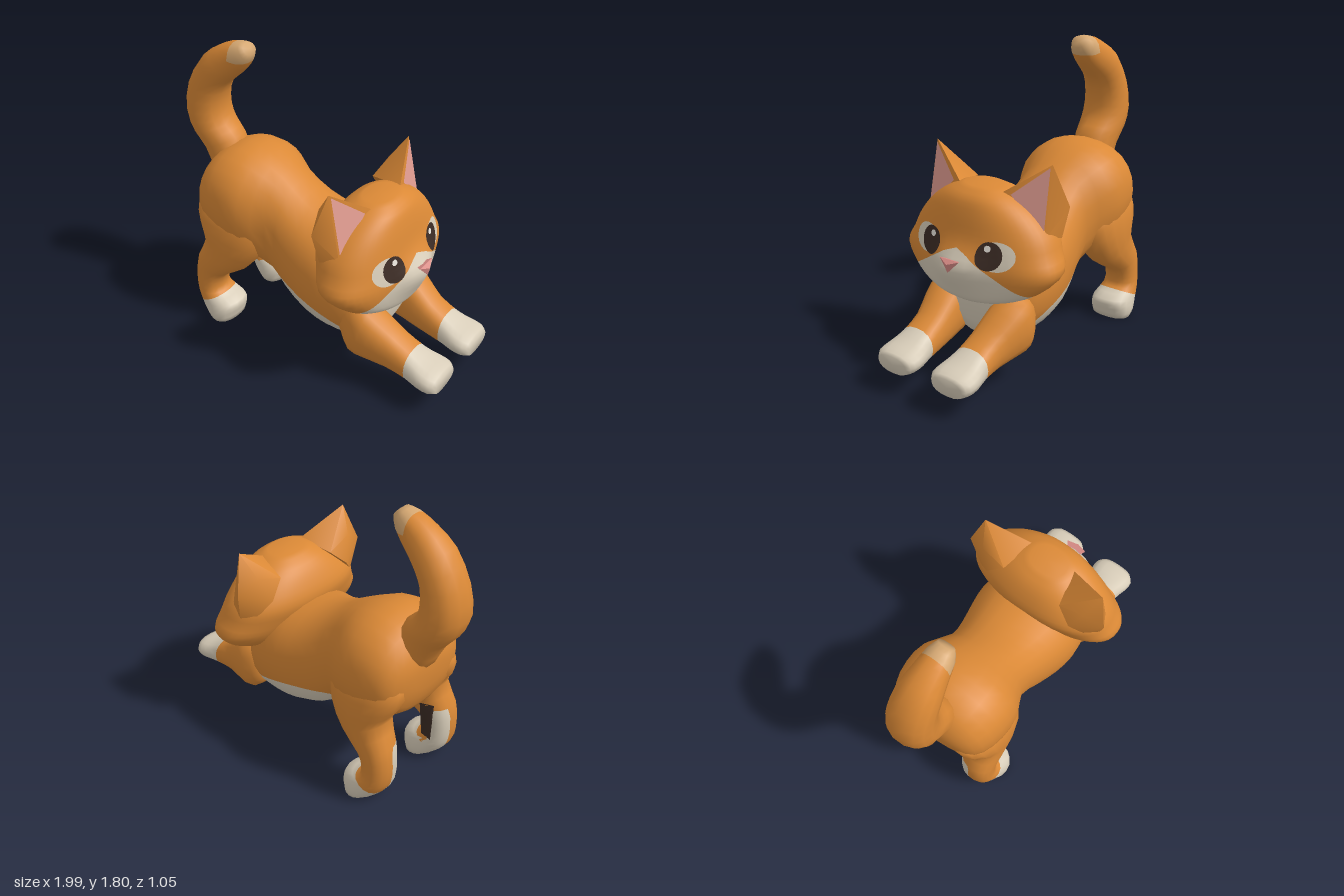
import * as THREE from 'three';
import { ConvexGeometry } from 'three/addons/geometries/ConvexGeometry.js';
import { toCreasedNormals } from 'three/addons/utils/BufferGeometryUtils.js';

const mat = (name, color) => new THREE.MeshStandardMaterial({ name, color });

// Smooth loft. Each ring is [x0, y0, x1, y1, zCentre, zRadius]: two outline
// points in the side plane (the second to the left of travel) and a width.
function loft(rings, { steps = 2, sides = 20, power = 0.9, side = 1 } = {}) {
  const curve = (f) => new THREE.CatmullRomCurve3(rings.map(f), false, 'catmullrom', 0.5);
  const ca = curve((r) => new THREE.Vector3(r[0], r[1], r[4] * side));
  const cb = curve((r) => new THREE.Vector3(r[2], r[3], r[5]));
  const rows = (rings.length - 1) * steps;
  const pos = [], index = [], centres = [];
  const bend = (v) => Math.sign(v) * Math.pow(Math.abs(v), power);
  for (let i = 0; i <= rows; i++) {
    const a = ca.getPoint(i / rows), b = cb.getPoint(i / rows);
    const cx = (a.x + b.x) / 2, cy = (a.y + b.y) / 2;
    centres.push([cx, cy, a.z]);
    for (let j = 0; j < sides; j++) {
      const t = (j / sides) * Math.PI * 2;
      const c = bend(Math.cos(t)), s = bend(Math.sin(t));
      pos.push(cx + (s * (b.x - a.x)) / 2, cy + (s * (b.y - a.y)) / 2, a.z + c * b.z);
    }
  }
  for (let i = 0; i < rows; i++) {
    for (let j = 0; j < sides; j++) {
      const k = (j + 1) % sides;
      const a = i * sides + j, b = i * sides + k, c = a + sides, d = b + sides;
      index.push(a, c, b, b, c, d);
    }
  }
  // End caps
  const first = (rows + 1) * sides, last = first + 1, top = rows * sides;
  pos.push(...centres[0], ...centres[rows]);
  for (let j = 0; j < sides; j++) {
    const k = (j + 1) % sides;
    index.push(first, j, k, last, top + k, top + j);
  }
  const geo = new THREE.BufferGeometry();
  geo.setAttribute('position', new THREE.Float32BufferAttribute(pos, 3));
  geo.setIndex(index);
  geo.computeVertexNormals();
  return geo;
}

// Cuts a surface along rule(p) = 0, so the positive side takes the second colour.
function paint(name, geo, rule, mats) {
  const g = geo.toNonIndexed(), P = g.attributes.position, N = g.attributes.normal;
  const pos = [], nor = [], out = new THREE.BufferGeometry();
  for (const sign of [-1, 1]) {
    const start = pos.length / 3;
    for (let t = 0; t < P.count; t += 3) {
      const tri = [0, 1, 2].map((k) => {
        const p = new THREE.Vector3().fromBufferAttribute(P, t + k);
        return { p, n: new THREE.Vector3().fromBufferAttribute(N, t + k), d: rule(p) };
      });
      const poly = [];
      tri.forEach((a, k) => {
        const b = tri[(k + 1) % 3];
        if (a.d * sign >= 0) poly.push(a);
        if (a.d * b.d < 0) {
          const f = a.d / (a.d - b.d);
          poly.push({ p: a.p.clone().lerp(b.p, f), n: a.n.clone().lerp(b.n, f).normalize() });
        }
      });
      for (let k = 1; k + 1 < poly.length; k++) {
        for (const v of [poly[0], poly[k], poly[k + 1]]) {
          pos.push(...v.p.toArray());
          nor.push(...v.n.toArray());
        }
      }
    }
    out.addGroup(start, pos.length / 3 - start, sign < 0 ? 0 : 1);
  }
  out.setAttribute('position', new THREE.Float32BufferAttribute(pos, 3));
  out.setAttribute('normal', new THREE.Float32BufferAttribute(nor, 3));
  const mesh = new THREE.Mesh(out, mats);
  mesh.name = name;
  return mesh;
}

// Thin patch laid onto a mesh by casting its points along dir.
function decal(name, target, dir, centre, ru, rv, lift, material, seg = 28, turn = 0) {
  const geo = new THREE.RingGeometry(0, 1, seg, 6, turn, Math.PI * 2);
  const d = new THREE.Vector3(...dir), up = new THREE.Vector3(0, 1, 0);
  const right = d.clone().cross(up), p = geo.attributes.position, ray = new THREE.Raycaster();
  let depth = 0;
  for (let i = 0; i < p.count; i++) {
    const o = new THREE.Vector3(...centre).addScaledVector(right, p.getX(i) * ru + 0.00013);
    o.addScaledVector(up, p.getY(i) * rv + 0.00017);
    ray.set(o, d);
    const hit = ray.intersectObject(target)[0];
    if (hit) depth = hit.distance;
    o.addScaledVector(d, depth - lift);
    p.setXYZ(i, o.x, o.y, o.z);
  }
  geo.computeVertexNormals();
  const mesh = new THREE.Mesh(geo, material);
  mesh.name = name;
  return mesh;
}

export function createModel() {
  const model = new THREE.Group();
  model.name = 'kitten';
  const orange = mat('orangeFur', 0xdb8936), cream = mat('creamFur', 0xd8cdb9);
  const tan = mat('tailTipTan', 0xd6a872), pink = mat('earPink', 0xe29d92);
  const nosePink = mat('nosePink', 0xd98c86), dark = mat('darkBrown', 0x3c2c25);
  const shine = mat('eyeShine', 0xf0ebe2);
  const { abs, min, max, exp } = Math;

  // Body: raised rump, low chest, cream belly
  model.add(paint('body', loft([
    [-0.8, 0.76, -0.8, 0.93, 0, 0.12], [-0.77, 0.64, -0.77, 1.02, 0, 0.25],
    [-0.7, 0.55, -0.69, 1.12, 0, 0.325], [-0.55, 0.48, -0.55, 1.165, 0, 0.36],
    [-0.4, 0.46, -0.4, 1.14, 0, 0.35], [-0.25, 0.37, -0.25, 1.06, 0, 0.275],
    [-0.1, 0.25, -0.1, 0.96, 0, 0.3], [0.05, 0.19, 0.05, 0.9, 0, 0.34],
    [0.2, 0.17, 0.2, 0.87, 0, 0.36], [0.35, 0.17, 0.35, 0.8, 0, 0.335],
    [0.45, 0.2, 0.45, 0.72, 0, 0.27], [0.52, 0.32, 0.52, 0.6, 0, 0.15],
  ], { sides: 24 }), (p) => max(
    min(0.445 - 0.09 * p.x - 0.8 * max(0, p.x) ** 2 - p.y, p.x + 0.45),
    min(0.18 - abs(p.z), p.x - 0.36, 0.58 - p.y),
  ), [orange, cream]));

  // Tail
  model.add(paint('tail', loft([
    [-0.6, 1.06, -0.79, 0.88, 0, 0.13], [-0.64, 1.17, -0.87, 1.06, 0, 0.135],
    [-0.71, 1.24, -0.95, 1.17, 0, 0.145], [-0.745, 1.33, -1, 1.3, 0, 0.145],
    [-0.735, 1.44, -0.97, 1.49, 0, 0.135], [-0.69, 1.52, -0.86, 1.67, 0, 0.125],
    [-0.61, 1.59, -0.73, 1.76, 0, 0.1], [-0.535, 1.67, -0.62, 1.8, 0, 0.08],
    [-0.505, 1.74, -0.55, 1.805, 0, 0.05],
  ], { sides: 14 }), (p) => min(p.x + 0.63, p.y - 1.69), [orange, tan]));

  // Head with a pushed-out muzzle
  const headGeo = loft([
    [0.6, 0.49, 0.46, 0.49, 0, 0.15], [0.63, 0.52, 0.36, 0.53, 0, 0.29],
    [0.64, 0.58, 0.24, 0.6, 0, 0.43], [0.64, 0.7, 0.18, 0.7, 0, 0.525],
    [0.63, 0.8, 0.14, 0.8, 0, 0.485], [0.61, 0.9, 0.12, 0.9, 0, 0.44],
    [0.585, 1, 0.16, 1, 0, 0.35], [0.55, 1.08, 0.22, 1.08, 0, 0.235],
    [0.48, 1.13, 0.3, 1.13, 0, 0.12],
  ], { steps: 3, sides: 48, power: 0.87 });
  const hp = headGeo.attributes.position;
  for (let i = 0; i < hp.count; i++) {
    const x = hp.getX(i), y = hp.getY(i), z = hp.getZ(i);
    const dy = (y - 0.71) / (y > 0.71 ? 0.09 : 0.13);
    const front = THREE.MathUtils.smoothstep(x, 0.45, 0.6);
    hp.setX(i, x + 0.08 * front * exp(-((z / 0.16) ** 2) - dy * dy));
  }
  headGeo.computeVertexNormals();
  const head = paint('head', headGeo,
    (p) => min(0.84 - 0.63 * abs(p.z) - p.y, 0.82 - p.y, p.x - 0.42), [orange, cream]);
  model.add(head);

  // Nose: a small wedge on the muzzle
  const nose = new THREE.Mesh(new ConvexGeometry([
    [0.738, 0.748, 0], [0.712, 0.77, 0.068], [0.712, 0.77, -0.068],
    [0.728, 0.697, 0], [0.64, 0.74, 0.02], [0.64, 0.74, -0.02],
  ].map((p) => new THREE.Vector3(...p))), nosePink);
  nose.name = 'nose';
  model.add(nose);

  for (const s of [1, -1]) {
    const label = s > 0 ? 'left' : 'right';

    // Eyes
    const back = [-1, 0, 0];
    model.add(decal(label + 'EyeWhite', head, back, [3, 0.81, s * 0.245], 0.105, 0.08, 0.005, cream));
    model.add(decal(label + 'Pupil', head, back, [3, 0.81, s * 0.205], 0.077, 0.077, 0.008, dark));
    model.add(decal(label + 'EyeShine', head, back, [3, 0.85, s * 0.193], 0.02, 0.018, 0.011, shine, 10));

    // Ears, broad at the back where they run into the head
    const v = (x, y, z) => new THREE.Vector3(x, y, z * s);
    const face = [v(0.32, 1.29, 0.41), v(0.4, 0.89, 0.42), v(0.43, 1.11, 0.15)];
    const ear = new THREE.Mesh(toCreasedNormals(new ConvexGeometry([...face,
      v(0.17, 0.98, 0.3), v(0.21, 1.08, 0.2), v(0.26, 1.05, 0.485), v(0.29, 0.87, 0.455),
      v(0.22, 1.14, 0.36), v(0.22, 0.88, 0.38)]), 0.8), orange);
    ear.name = label + 'Ear';
    const mid = new THREE.Vector3().add(face[0]).add(face[1]).add(face[2]).divideScalar(3);
    const inset = face.map((p, i) => p.clone().lerp(mid, [0.08, 0.08, 0.3][i])
      .add(new THREE.Vector3(0.006, 0, 0)));
    if (s < 0) inset.reverse();
    const innerGeo = new THREE.BufferGeometry().setFromPoints(inset);
    innerGeo.computeVertexNormals();
    const inner = new THREE.Mesh(innerGeo, pink);
    inner.name = label + 'InnerEar';
    model.add(ear, inner);

    // Front legs stretched forward
    model.add(paint(label + 'FrontLeg', loft([
      [0.32, 0.26, 0.34, 0.52, 0.22, 0.09], [0.4, 0.17, 0.46, 0.53, 0.235, 0.13],
      [0.5, 0.155, 0.57, 0.46, 0.225, 0.13], [0.64, 0.14, 0.68, 0.37, 0.205, 0.115],
      [0.78, 0.125, 0.8, 0.305, 0.2, 0.12], [0.88, 0.12, 0.88, 0.27, 0.2, 0.14],
      [0.95, 0.12, 0.95, 0.25, 0.2, 0.14], [0.985, 0.12, 0.995, 0.23, 0.2, 0.105],
    ], { sides: 16, power: 0.85, side: s }), (p) => p.x - 0.78, [orange, cream]));

    // Hind legs, with the thigh top sunk into the rump
    const hind = paint(label + 'HindLeg', loft([
      [-0.7, 0.93, -0.36, 0.88, 0.15, 0.08], [-0.79, 0.81, -0.28, 0.75, 0.195, 0.14],
      [-0.765, 0.68, -0.3, 0.58, 0.22, 0.15], [-0.71, 0.57, -0.42, 0.41, 0.24, 0.13],
      [-0.77, 0.42, -0.57, 0.31, 0.26, 0.11], [-0.79, 0.28, -0.6, 0.24, 0.265, 0.105],
      [-0.78, 0.16, -0.59, 0.18, 0.265, 0.11], [-0.75, 0.09, -0.48, 0.13, 0.265, 0.13],
      [-0.7, 0.03, -0.48, 0.07, 0.265, 0.14], [-0.66, 0, -0.5, 0, 0.265, 0.13],
    ], { sides: 18, power: 0.88, side: s }), (p) => max(
      0.13 + 0.5 * (p.x + 0.66) - p.y,
      min(-0.69 - p.x, 0.25 - abs(p.z), 0.42 - p.y),
    ), [orange, cream]);
    model.add(hind, decal(label + 'HindLegMark', hind, [0, 0, s], [-0.68, 0.32, 0],
      0.055, 0.19, 0.007, dark, 4, Math.PI / 4));
  }
  return model;
}
